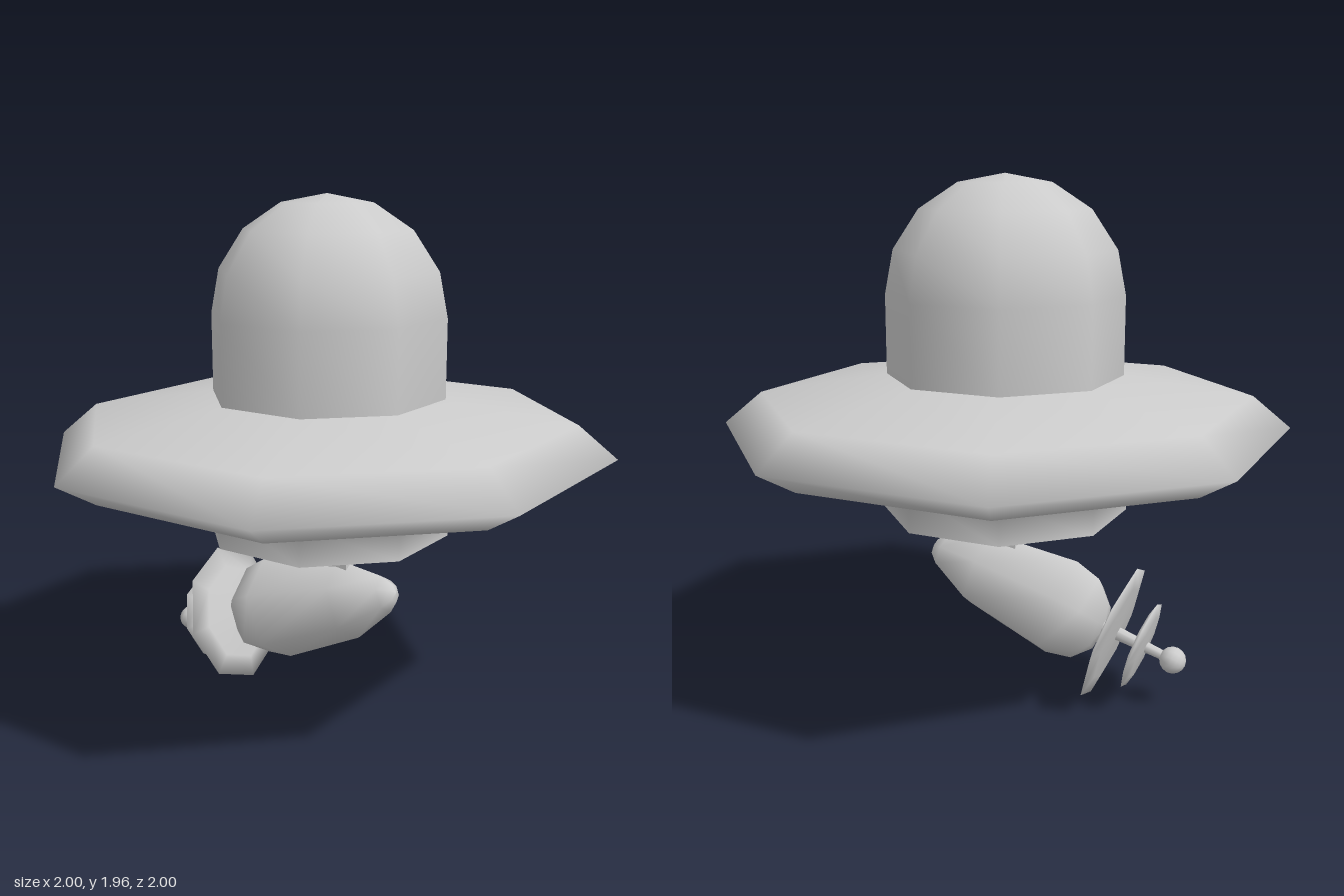
import * as THREE from 'three';

const material = new THREE.MeshStandardMaterial({ color: 0xcccccc });
const HULL_TURN = THREE.MathUtils.degToRad(20.5);

function addMesh(parent, name, geometry) {
  const mesh = new THREE.Mesh(geometry, material);
  mesh.name = name;
  parent.add(mesh);
  return mesh;
}

// Profile pairs are [radius, height], running from bottom to top
function lathe(profile, sides, start = 0) {
  const points = profile.map(([r, y]) => new THREE.Vector2(r, y));
  return new THREE.LatheGeometry(points, sides, start);
}

export function createModel() {
  const model = new THREE.Group();
  model.name = 'saucer';

  // Eight-sided saucer body, dome and hollow underside
  addMesh(model, 'saucerHull', lathe([
    [0.464, 0.715], [0.464, 0.865], [0.923, 0.955],
    [1.066, 1.04], [0.923, 1.16], [0.443, 1.235],
  ], 8, HULL_TURN));
  addMesh(model, 'dome', lathe([
    [0.443, 1.235], [0.443, 1.53], [0.411, 1.695],
    [0.315, 1.84], [0.171, 1.935], [0, 1.967],
  ], 8, HULL_TURN));
  addMesh(model, 'neckRim', lathe([[0.42, 0.715], [0.464, 0.715]], 8, HULL_TURN));
  addMesh(model, 'neckWell', lathe([[0.42, 0.88], [0.42, 0.715]], 8, HULL_TURN));
  addMesh(model, 'wellCeiling', lathe([[0, 0.88], [0.42, 0.88]], 8, HULL_TURN));

  // Mounting plate and bent bracket
  const plate = addMesh(model, 'mountPlate',
    new THREE.CylinderGeometry(0.21, 0.21, 0.03, 8, 1, false, Math.PI / 8));
  plate.position.set(0.09, 0.865, 0.01);

  const outline = new THREE.Shape([
    [-0.05, 0.54], [0.11, 0.54], [0.11, 0.595], [0.055, 0.64],
    [0.16, 0.87], [0.01, 0.87], [-0.095, 0.64], [-0.05, 0.585],
  ].map(([x, y]) => new THREE.Vector2(x, y)));
  const bracket = addMesh(model, 'bracket',
    new THREE.ExtrudeGeometry(outline, { depth: 0.056, bevelEnabled: false }));
  bracket.position.z = -0.018;

  // Ray gun, built along its own y axis from muzzle ball to rear
  const gun = new THREE.Group();
  gun.name = 'rayGun';
  gun.position.set(-0.675, 0.2, 0.01);
  gun.rotation.z = THREE.MathUtils.degToRad(-72);
  model.add(gun);

  const body = addMesh(gun, 'gunBody', lathe([
    [0, 0.28], [0.1, 0.297], [0.178, 0.365], [0.205, 0.465],
    [0.157, 0.817], [0.072, 0.99], [0.035, 1.028], [0, 1.037],
  ], 6, Math.PI / 6));
  body.position.x = 0.005;
  body.scale.z = 0.9;

  const rod = addMesh(gun, 'barrel', new THREE.CylinderGeometry(0.03, 0.018, 0.3, 8));
  rod.position.y = 0.17;
  addMesh(gun, 'muzzleBall', new THREE.SphereGeometry(0.05, 12, 8));

  // Thin lens-shaped fins around the barrel
  for (const [name, y, r] of [['smallFin', 0.127, 0.18], ['largeFin', 0.244, 0.277]]) {
    const fin = addMesh(gun, name, lathe([
      [0, -0.02], [r * 0.7, -0.014], [r, 0], [r * 0.7, 0.016], [0, 0.024],
    ], 8));
    fin.position.y = y;
  }
  return model;
}
